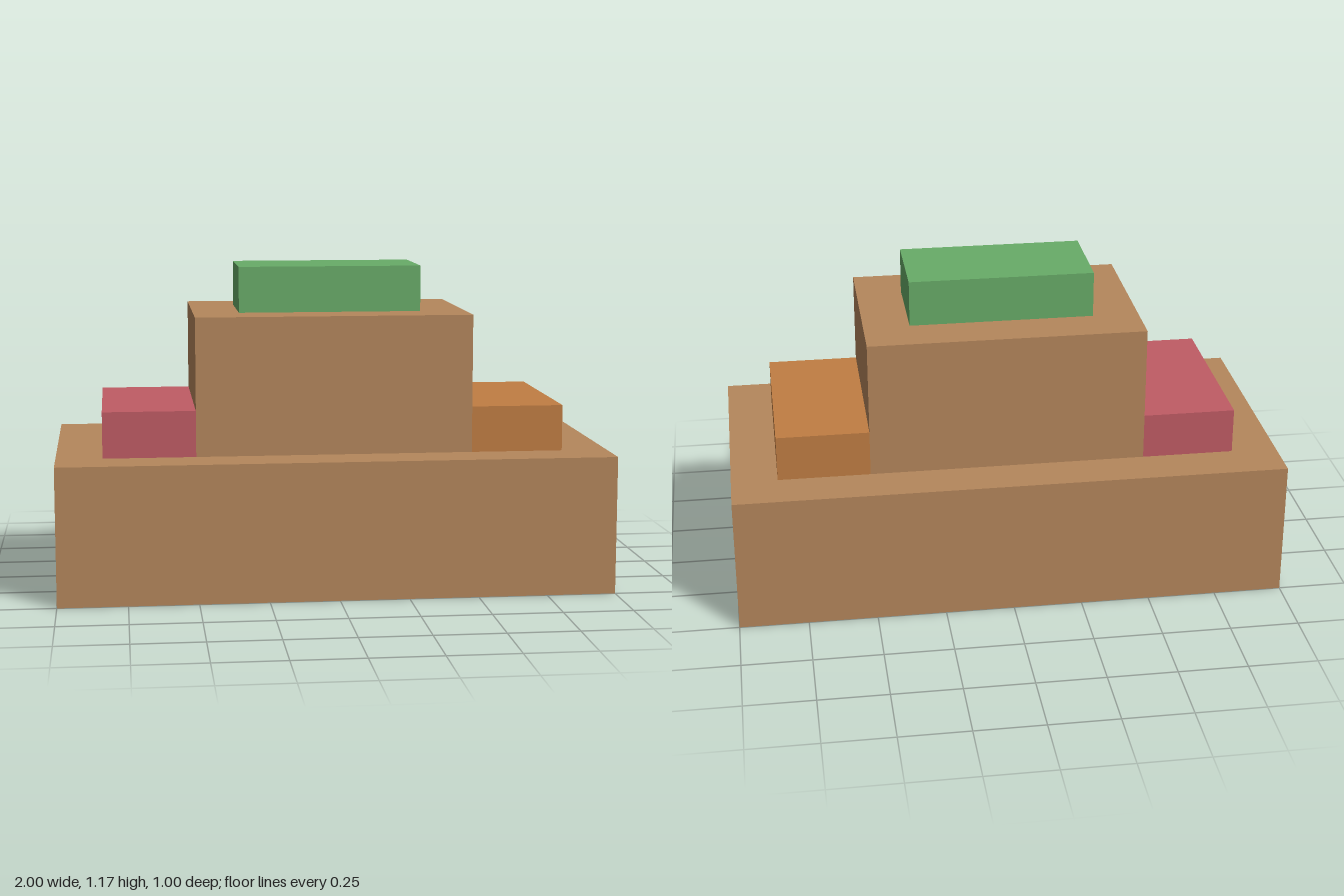
import * as THREE from 'three';

const material = (name, color) => {
  const m = new THREE.MeshStandardMaterial({ color });
  m.name = name;
  return m;
};

export function createModel() {
  const model = new THREE.Group();
  model.name = 'steppedBlocks';

  const brown = material('brown', 0xb5875c);
  const red = material('red', 0xc05c65);
  const orange = material('orange', 0xc17e43);
  const green = material('green', 0x68ac68);

  // A box standing on height y, centred on z = 0
  const addBlock = (name, mat, width, height, depth, x, y) => {
    const mesh = new THREE.Mesh(new THREE.BoxGeometry(width, height, depth), mat);
    mesh.name = name;
    mesh.position.set(x, y + height / 2, 0);
    model.add(mesh);
  };

  const unit = 1 / 6; // every block is a whole number of these

  // Base and the block stacked on it
  addBlock('base', brown, 12 * unit, 3 * unit, 6 * unit, 0, 0);
  addBlock('middleBlock', brown, 6 * unit, 3 * unit, 4 * unit, 0, 3 * unit);

  // Low steps on either side of the middle block
  addBlock('rightStep', red, 2 * unit, unit, 4 * unit, -4 * unit, 3 * unit);
  addBlock('leftStep', orange, 2 * unit, unit, 4 * unit, 4 * unit, 3 * unit);

  // Cap on the very top
  addBlock('topBlock', green, 4 * unit, unit, 2 * unit, 0, 6 * unit);

  return model;
}
